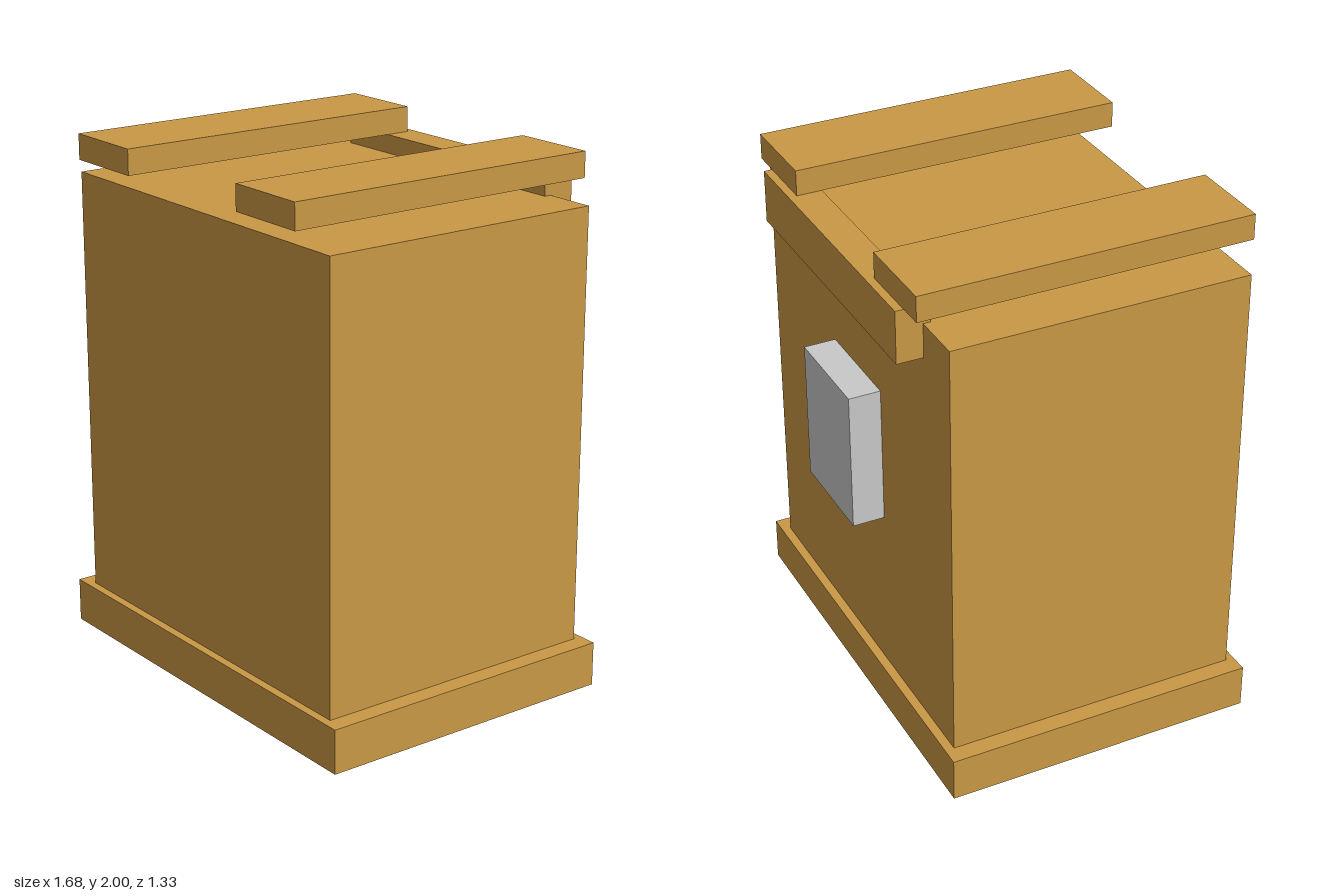
import * as THREE from 'three';

export function createModel() {
  const model = new THREE.Group();
  model.name = 'crate';

  const wood = new THREE.MeshStandardMaterial({ color: 0xc99845 });
  wood.name = 'wood';
  const metal = new THREE.MeshStandardMaterial({ color: 0xc8c8c8 });
  metal.name = 'lightGrey';

  // Box given by its lower and upper limits on each axis
  function addBox(name, material, [x0, x1], [y0, y1], [z0, z1]) {
    const mesh = new THREE.Mesh(new THREE.BoxGeometry(x1 - x0, y1 - y0, z1 - z0), material);
    mesh.position.set((x0 + x1) / 2, (y0 + y1) / 2, (z0 + z1) / 2);
    mesh.name = name;
    model.add(mesh);
  }

  // Plinth and main body
  addBox('base', wood, [-0.84, 0.84], [0, 0.17], [-0.578, 0.63]);
  addBox('body', wood, [-0.77, 0.77], [0.17, 1.83], [-0.543, 0.598]);

  // Crossbar along the upper back edge
  addBox('backBar', wood, [-0.57, 0.57], [1.7, 1.902], [-0.643, -0.515]);

  // Pair of planks over the top, resting on the crossbar
  addBox('leftTopPlank', wood, [0.335, 0.67], [1.902, 2], [-0.612, 0.665]);
  addBox('rightTopPlank', wood, [-0.67, -0.335], [1.902, 2], [-0.612, 0.665]);

  // Grey block on the back
  addBox('backPlate', metal, [-0.2, 0.2], [0.825, 1.365], [-0.665, -0.543]);

  return model;
}
